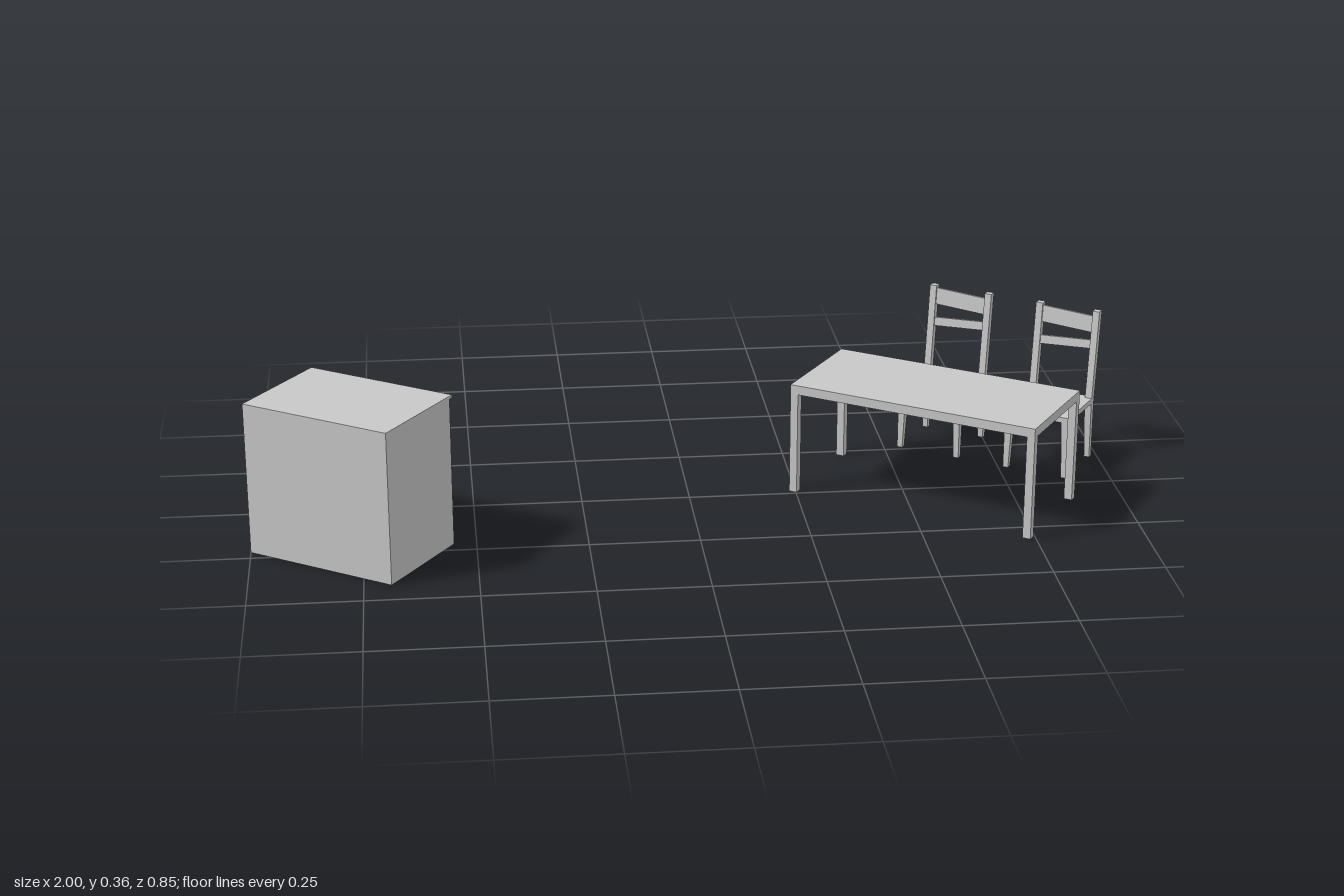
import * as THREE from 'three';

const grey = new THREE.MeshStandardMaterial({ color: 0xc8c8c8 });
grey.name = 'plain grey';
const TURN = -0.588; // all furniture stands at the same angle

function add(group, name, geometry, x = 0, y = 0, z = 0) {
  const mesh = new THREE.Mesh(geometry, grey);
  mesh.name = name;
  mesh.position.set(x, y, z);
  group.add(mesh);
  return mesh;
}

// box given by its limits on each axis
function slab(group, name, x0, x1, y0, y1, z0, z1) {
  return add(group, name, new THREE.BoxGeometry(x1 - x0, y1 - y0, z1 - z0),
    (x0 + x1) / 2, (y0 + y1) / 2, (z0 + z1) / 2);
}

// four-sided bar between two rectangles [x0, x1, z0, z1] at heights y0 and y1
function bar(group, name, y0, low, y1, high) {
  const g = new THREE.BoxGeometry(1, 1, 1);
  const p = g.attributes.position;
  for (let i = 0; i < p.count; i++) {
    const top = p.getY(i) > 0;
    const r = top ? high : low;
    p.setXYZ(i, r[p.getX(i) > 0 ? 1 : 0], top ? y1 : y0, r[p.getZ(i) > 0 ? 3 : 2]);
  }
  g.computeVertexNormals();
  return add(group, name, g);
}

function place(group, name, x, z) {
  group.name = name;
  group.position.set(x, 0, z);
  group.rotation.y = TURN;
  return group;
}

// rectangle of the given size in a corner, running inwards from (x, z)
function corner(sx, sz, x, z, w, d = w) {
  const xs = [sx * x, sx * (x - w)].sort((a, b) => a - b);
  const zs = [sz * z, sz * (z - d)].sort((a, b) => a - b);
  return [...xs, ...zs];
}

function makeCabinet() {
  const g = new THREE.Group();
  const w = 0.1865, d = 0.131, face = -0.121;
  slab(g, 'cabinetBody', -w, w, 0, 0.346, face, d);
  slab(g, 'cabinetTop', -w, w, 0.346, 0.353, -d, d);
  // two upright pull handles on short feet
  for (const s of [-1, 1]) {
    const x = s * 0.025;
    add(g, 'handleBar', new THREE.CylinderGeometry(0.0025, 0.0025, 0.07, 12), x, 0.27, face - 0.008);
    for (const y of [0.238, 0.302]) {
      slab(g, 'handleFoot', x - 0.002, x + 0.002, y - 0.002, y + 0.002, face - 0.008, face);
    }
  }
  return g;
}

function makeTable() {
  const g = new THREE.Group();
  const w = 0.301, d = 0.138;
  slab(g, 'tableTop', -w, w, 0.243, 0.265, -d, d);
  for (const sx of [-1, 1]) for (const sz of [-1, 1]) {
    const r = corner(sx, sz, w, d, 0.019);
    bar(g, 'tableLeg', 0, r, 0.243, r);
  }
  return g;
}

function makeChair() {
  const g = new THREE.Group();
  const w = 0.08, d = 0.083, seatLow = 0.138, seatHigh = 0.151, top = 0.362, lean = 0.024;
  slab(g, 'seat', -w, w, seatLow, seatHigh, -d, d);
  for (const s of [-1, 1]) {
    // legs taper on their inner sides
    bar(g, 'frontLeg', 0, corner(s, 1, w, d, 0.013), seatLow, corner(s, 1, w, d, 0.019));
    bar(g, 'rearLeg', 0, corner(s, -1, w, d, 0.013), seatLow, corner(s, -1, w, d, 0.017));
    // back posts lean to the rear
    bar(g, 'backPost', seatLow, corner(s, -1, w, d, 0.017), top, corner(s, -1, w, d + lean, 0.017));
  }
  // slats between the posts, each slightly out of level
  const slats = [['topSlat', 0.332, 0.04, -0.055], ['lowerSlat', 0.276, 0.021, 0.062]];
  for (const [name, y, h, roll] of slats) {
    const z = -d + 0.0085 - lean * (y - seatLow) / (top - seatLow);
    const m = add(g, name, new THREE.BoxGeometry(0.134, h, 0.008), 0, y, z);
    m.rotation.set(-Math.atan(lean / (top - seatLow)), 0, roll);
  }
  return g;
}

export function createModel() {
  const model = new THREE.Group();
  model.name = 'furnitureSet';
  model.add(
    place(makeCabinet(), 'cabinet', -0.7725, 0.2125),
    place(makeTable(), 'table', 0.5625, 0.037),
    place(makeChair(), 'firstChair', 0.6455, -0.2915),
    place(makeChair(), 'secondChair', 0.8745, -0.1385),
  );
  return model;
}
